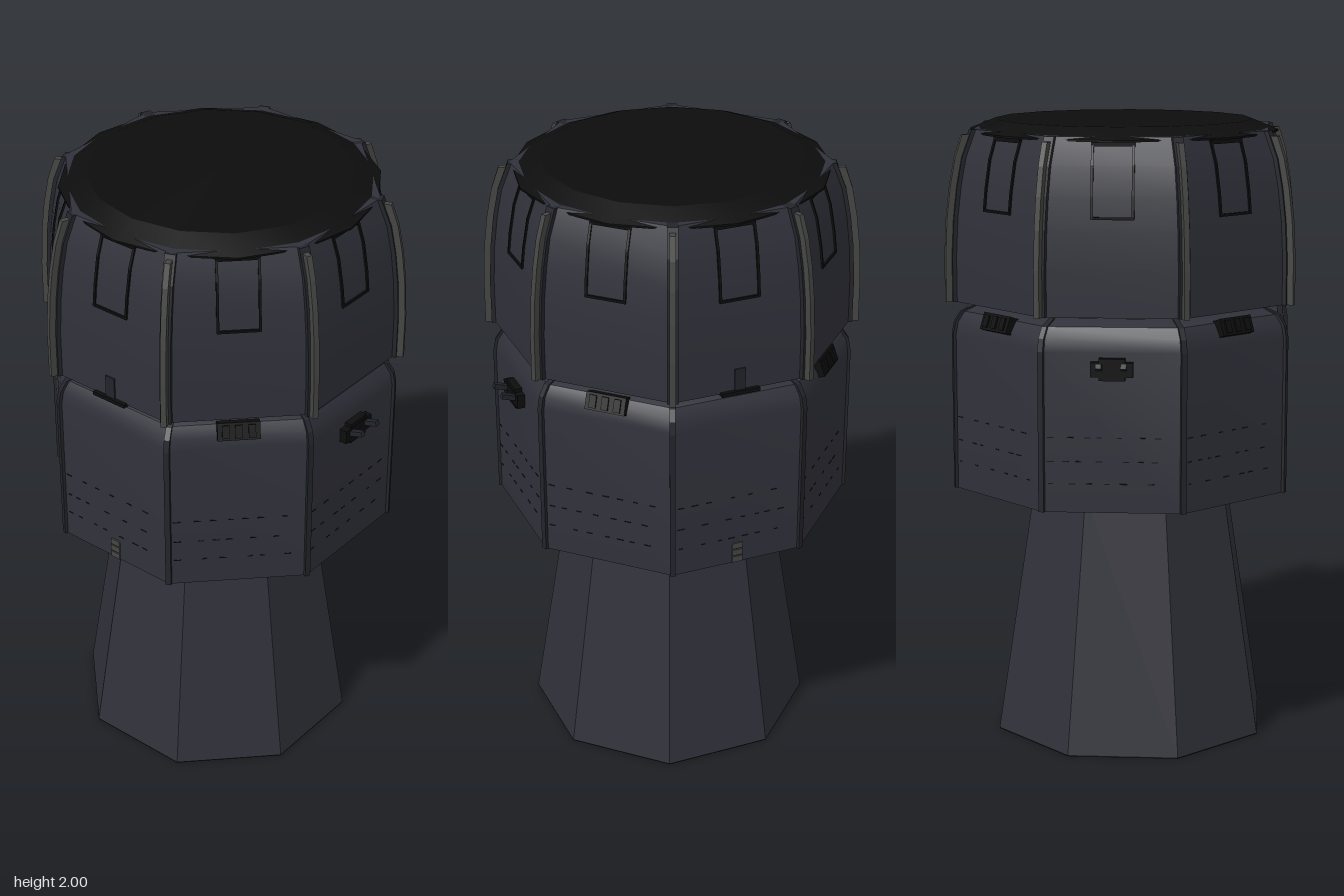
import * as THREE from 'three';
import { toCreasedNormals } from 'three/addons/utils/BufferGeometryUtils.js';

const mat = (name, color) => Object.assign(new THREE.MeshStandardMaterial({ color }), { name });
const EIGHTH = Math.PI / 4;
const CORNER = 1 / Math.cos(Math.PI / 8); // apothem to corner radius

// Side profiles as [apothem, height]
const HEAD = [[0.525, 1.435], [0.525, 1.58], [0.519, 1.7], [0.508, 1.8], [0.492, 1.89], [0.462, 1.975]];
const DRUM = [[0.525, 0.83], [0.525, 1.33], [0.518, 1.37], [0.498, 1.403], [0.455, 1.422]];

export function createModel() {
  const body = mat('slate body', 0x30313a);
  const black = mat('black trim', 0x0d0d0d);
  const ribMat = mat('dark rib', 0x23242a);
  const finMat = mat('grey fin', 0x454643);
  const model = new THREE.Group();
  model.name = 'model';

  const add = (parent, name, geometry, material) => {
    const mesh = new THREE.Mesh(geometry, material);
    mesh.name = name;
    parent.add(mesh);
    return mesh;
  };
  const box = (parent, name, material, w, h, d, x, y, z) => {
    const mesh = add(parent, name, new THREE.BoxGeometry(w, h, d), material);
    mesh.position.set(x, y, z);
    return mesh;
  };

  // Closed eight-sided solid with flat faces left, right, front and back
  const octagon = (profile) => {
    const pts = profile.map(([a, y]) => new THREE.Vector2(a * CORNER, y));
    pts.unshift(new THREE.Vector2(0, profile[0][1]));
    pts.push(new THREE.Vector2(0, profile[profile.length - 1][1]));
    return toCreasedNormals(new THREE.LatheGeometry(pts, 8, Math.PI / 8), 0.55);
  };

  // Apothem of the head at a given height
  const headAt = (y) => {
    for (let i = 1; i < HEAD.length; i++) {
      const [a0, y0] = HEAD[i - 1], [a1, y1] = HEAD[i];
      if (y <= y1) return a0 + (a1 - a0) * (y - y0) / (y1 - y0);
    }
    return HEAD[HEAD.length - 1][0];
  };

  // Plate that follows a corner of the profile
  const cornerPlate = (profile, out, thick) => {
    const shape = new THREE.Shape();
    profile.forEach(([a, y], i) => {
      const r = a * CORNER + out;
      if (i) shape.lineTo(r, y); else shape.moveTo(r, y);
    });
    [...profile].reverse().forEach(([a, y]) => shape.lineTo(a * CORNER - 0.03, y));
    const g = new THREE.ExtrudeGeometry(shape, { depth: thick, bevelEnabled: false });
    return g.translate(0, 0, -thick / 2);
  };

  // Main volumes
  add(model, 'pedestal', octagon([[0.425, 0.004], [0.305, 0.83]]), body).position.x = -0.025;
  const foot = add(model, 'pedestalBase', octagon([[0.425, 0], [0.4245, 0.005]]), black);
  foot.position.x = -0.025;
  add(model, 'drum', octagon(DRUM), body);
  add(model, 'neck', octagon([[0.4, 1.41], [0.4, 1.44]]), black);
  add(model, 'head', octagon(HEAD), body);

  // Sixteen-sided roof cap
  const roof = [[0, 1.955], [0.494, 1.96], [0.494, 1.966], [0.41, 2], [0, 2]].map(([r, y]) => new THREE.Vector2(r, y));
  add(model, 'roofCap', toCreasedNormals(new THREE.LatheGeometry(roof, 16), 0.2), black);

  // Fins and ribs along the eight corners
  const finGeo = cornerPlate(HEAD.slice(0, -1).concat([[0.47, 1.96]]), 0.026, 0.018);
  const headRibGeo = cornerPlate(HEAD, 0.006, 0.034);
  const drumRibGeo = cornerPlate(DRUM, 0.006, 0.018);
  for (let k = 0; k < 8; k++) {
    const angle = EIGHTH * (k + 0.5);
    add(model, 'headFin', finGeo, finMat).rotation.y = angle;
    add(model, 'headRib', headRibGeo, ribMat).rotation.y = angle;
    add(model, 'drumRib', drumRibGeo, ribMat).rotation.y = angle;
  }

  // Details on each of the eight faces; local +z points outward
  let seed = 7;
  const random = () => (seed = (seed * 16807) % 2147483647) / 2147483647;
  for (let k = 0; k < 8; k++) {
    const face = new THREE.Group();
    face.name = 'faceDetails';
    face.rotation.y = k * EIGHTH;
    model.add(face);

    // Window frame bent to the curve of the head
    const levels = [1.735, 1.8, 1.89, 1.955];
    for (let i = 1; i < levels.length; i++) {
      const y0 = levels[i - 1], y1 = levels[i], z0 = headAt(y0), z1 = headAt(y1);
      for (const s of [-1, 1]) {
        const bar = box(face, 'windowSide', black, 0.008, Math.hypot(y1 - y0, z1 - z0) + 0.004, 0.009,
          s * 0.062, (y0 + y1) / 2, (z0 + z1) / 2 + 0.001);
        bar.rotation.x = Math.atan2(z1 - z0, y1 - y0);
      }
    }
    box(face, 'windowSill', black, 0.13, 0.008, 0.009, 0, 1.735, headAt(1.735) + 0.001);
    box(face, 'windowTop', black, 0.13, 0.012, 0.012, 0, 1.953, headAt(1.953) + 0.001);

    // Broken seam lines round the drum
    for (const y of [0.92, 0.99, 1.065]) {
      for (let x = -0.19; x < 0.17; x += 0.035 + random() * 0.05) {
        box(face, 'seamDash', black, 0.012 + random() * 0.012, 0.003, 0.002, x, y, 0.5255);
      }
    }

    if (k % 2) {
      // Shoulder vent with raised slats
      const vent = box(face, 'shoulderVent', black, 0.13, 0.055, 0.06, 0, 1.383, 0.502);
      vent.rotation.x = -0.35;
      for (const x of [-0.04, 0, 0.04]) box(vent, 'ventSlat', black, 0.022, 0.04, 0.008, x, 0, 0.032);
    } else if (k % 4 === 0) {
      // Front and back mount with two prongs
      box(face, 'mountPlate', black, 0.13, 0.045, 0.03, 0, 1.28, 0.535);
      box(face, 'mountCentre', black, 0.08, 0.068, 0.026, 0, 1.28, 0.535);
      for (const x of [-0.038, 0.038]) {
        const prong = box(face, 'mountProng', ribMat, 0.018, 0.016, 0.05, x, 1.292, 0.568);
        prong.rotation.x = -0.3;
      }
    } else {
      // Side catches and the slim ledge between drum and head
      box(face, 'sideLedge', black, 0.125, 0.012, 0.03, 0, 1.434, 0.523);
      box(face, 'headCatch', ribMat, 0.035, 0.075, 0.008, 0, 1.473, 0.526);
      for (const y of [0.842, 0.866, 0.89]) box(face, 'drumCatch', finMat, 0.035, 0.02, 0.008, 0, y, 0.526);
    }
  }
  return model;
}
